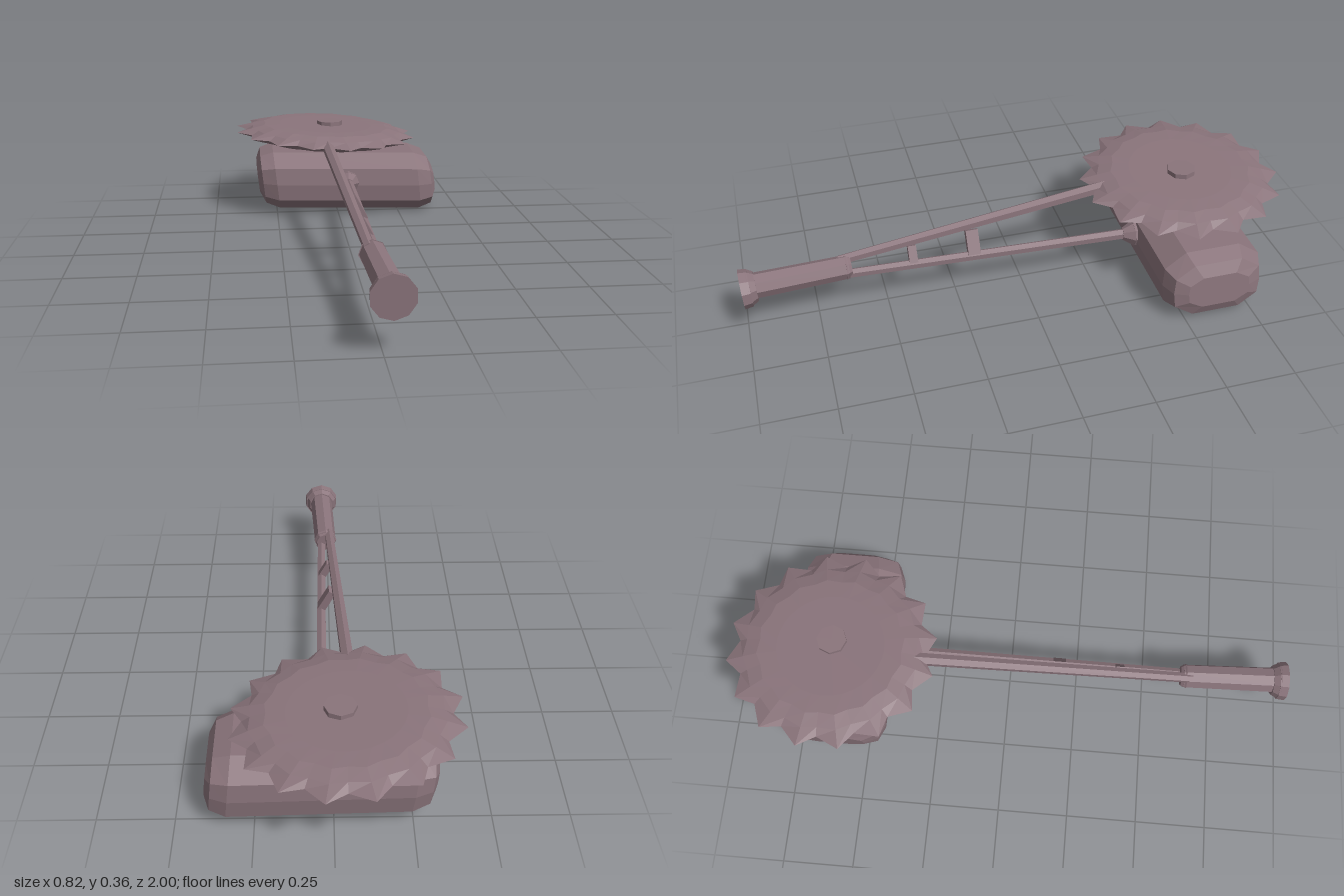
import * as THREE from 'three';

const material = new THREE.MeshStandardMaterial({ color: 0x8a747b, flatShading: true });
const V = (x, y, z) => new THREE.Vector3(x, y, z);

function part(group, name, geometry) {
  const mesh = new THREE.Mesh(geometry, material);
  mesh.name = name;
  group.add(mesh);
  return mesh;
}

// Tapered round bar running from point a to point b
function bar(group, name, a, b, ra, rb, sides) {
  const dir = b.clone().sub(a);
  const mesh = part(group, name, new THREE.CylinderGeometry(rb, ra, dir.length(), sides));
  mesh.position.copy(a).add(b).multiplyScalar(0.5);
  mesh.quaternion.setFromUnitVectors(V(0, 1, 0), dir.normalize());
  return mesh;
}

// Closed skin over a stack of rings, counter-clockwise about the stacking axis
function loft(rings) {
  const pos = [];
  const tri = (...pts) => pts.forEach((p) => pos.push(p.x, p.y, p.z));
  const n = rings[0].length;
  const middle = (ring) => ring.reduce((s, p) => s.add(p), V(0, 0, 0)).divideScalar(n);
  const first = rings[0], last = rings[rings.length - 1];
  const start = middle(first), end = middle(last);
  for (let j = 0; j < n; j++) {
    const k = (j + 1) % n;
    tri(start, first[k], first[j]);
    tri(end, last[j], last[k]);
    for (let i = 0; i < rings.length - 1; i++) {
      const r = rings[i], s = rings[i + 1];
      tri(r[j], r[k], s[k]);
      tri(r[j], s[k], s[j]);
    }
  }
  const geometry = new THREE.BufferGeometry();
  geometry.setAttribute('position', new THREE.Float32BufferAttribute(pos, 3));
  geometry.computeVertexNormals();
  return geometry;
}

// Chunky bevelled block, slightly skewed
function headGeometry() {
  const half = [[0.118, 0.1], [0.066, 0.178], [0, 0.185], [-0.066, 0.178], [-0.118, 0.1]];
  const section = [...half, ...half.map(([y, z]) => [y, -z]).reverse()];
  // [x, height scale, depth scale]
  const stations = [[-0.365, 0.5, 0.62], [-0.345, 0.84, 0.88], [-0.29, 1, 1],
    [0.29, 1, 1], [0.345, 0.84, 0.88], [0.365, 0.5, 0.62]];
  return loft(stations.map(([x, sy, sz]) =>
    section.map(([y, z]) => V(x - 0.11 * y * sy, y * sy - 0.025 * x, z * sz))));
}

// Saw disc: thick middle thinning to a toothed edge
function bladeGeometry() {
  const teeth = 16, step = (Math.PI * 2) / teeth, offset = THREE.MathUtils.degToRad(79);
  const ring = (tip, notch, y) => {
    const pts = [];
    for (let i = 0; i < teeth; i++) {
      for (const [f, r] of [[0, tip], [0.45, notch]]) {
        const a = offset + (i + f) * step;
        pts.push(V(Math.cos(a) * r, y, -Math.sin(a) * r));
      }
    }
    return pts;
  };
  return loft([
    ring(0.19, 0.19, -0.034), ring(0.26, 0.25, -0.031), ring(0.31, 0.3, -0.018),
    ring(0.373, 0.328, 0),
    ring(0.31, 0.3, 0.018), ring(0.26, 0.25, 0.031), ring(0.19, 0.19, 0.034),
  ]);
}

export function createModel() {
  const model = new THREE.Group();
  model.name = 'sawHammer';

  part(model, 'hammerHead', headGeometry()).position.set(0.04, 0.127, -0.615);

  const blade = part(model, 'sawBlade', bladeGeometry());
  blade.position.set(-0.042, 0.311, -0.628);
  blade.rotation.z = -0.05;
  bar(model, 'bladeAxle', V(-0.022, 0.2, -0.625), V(-0.022, 0.36, -0.625), 0.053, 0.053, 8);

  // Grip with collar and end knob
  const grip = new THREE.Group();
  grip.name = 'grip';
  model.add(grip);
  bar(grip, 'gripShaft', V(0.024, 0.184, 0.965), V(0.01, 0.187, 0.63), 0.046, 0.043, 8);
  bar(grip, 'gripCollar', V(0.01, 0.187, 0.64), V(0.009, 0.187, 0.62), 0.046, 0.036, 8);
  bar(grip, 'knobNeck', V(0.024, 0.18, 0.975), V(0.023, 0.181, 0.95), 0.066, 0.052, 10);
  bar(grip, 'knob', V(0.025, 0.178, 1), V(0.024, 0.179, 0.97), 0.07, 0.066, 10);

  // Forked arms reaching the blade and the head
  bar(model, 'upperArm', V(-0.004, 0.21, 0.66), V(-0.052, 0.31, -0.34), 0.018, 0.023, 6);
  bar(model, 'lowerArm', V(0.026, 0.17, 0.66), V(0.036, 0.142, -0.43), 0.017, 0.02, 6);
  bar(model, 'armFlare', V(0.035, 0.143, -0.385), V(0.036, 0.139, -0.425), 0.022, 0.046, 8);
  bar(model, 'armSocket', V(0.036, 0.139, -0.425), V(0.036, 0.138, -0.46), 0.046, 0.05, 8);

  // Short struts between the arms
  for (const [z, low, high, depth] of [[0.4, 0.165, 0.228, 0.03], [0.18, 0.16, 0.25, 0.045]]) {
    const strut = part(model, 'strut', new THREE.BoxGeometry(0.028, high - low, depth));
    strut.position.set(0.012, (low + high) / 2, z);
    strut.rotation.z = 0.5;
  }

  return model;
}
